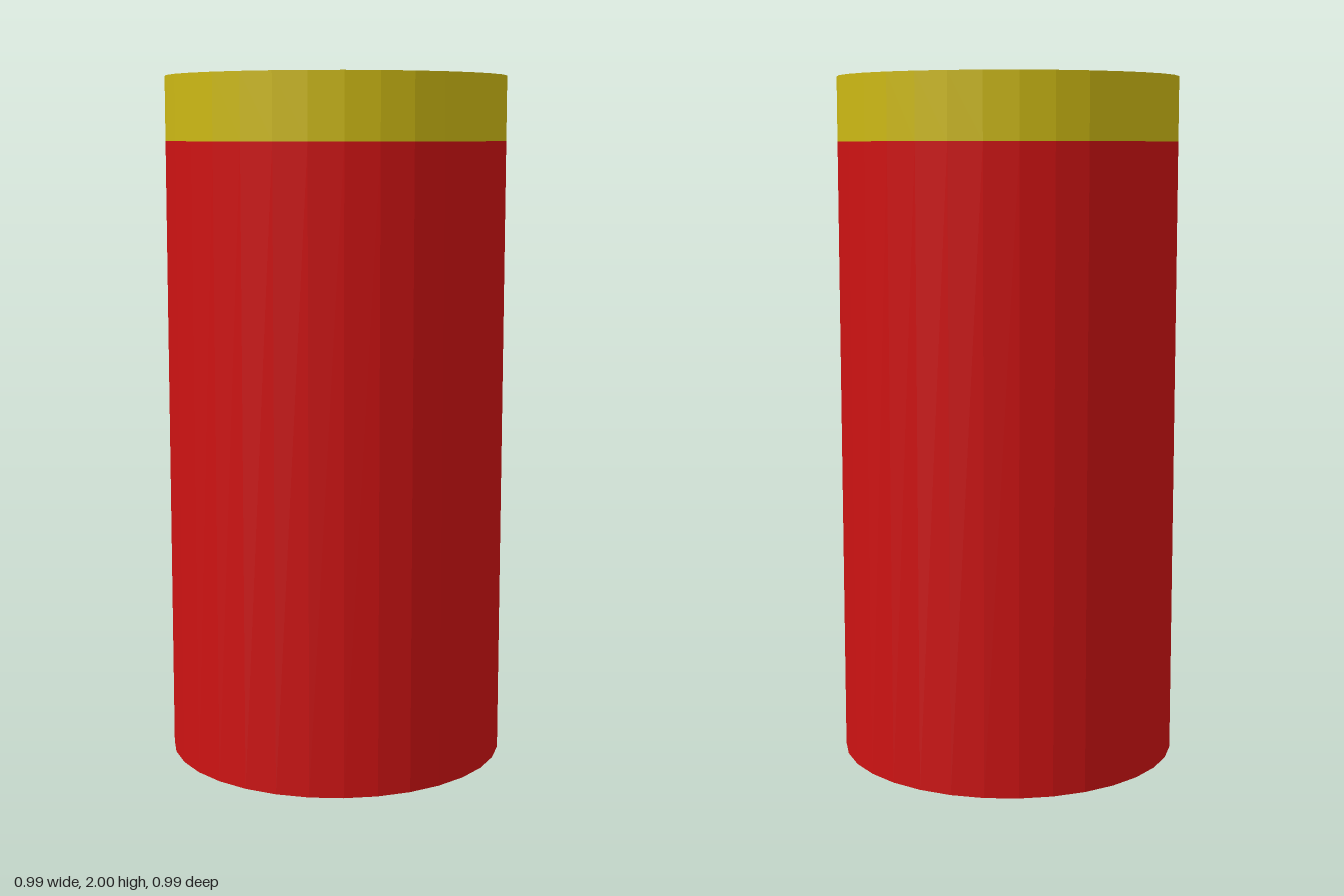
import * as THREE from 'three';

const SIDES = 32;
const RADIUS = 0.495;
const HOLE = 0.173;
const BODY_TOP = 1.815;
const DISC_TOP = 1.967;

function addPart(group, name, geometry, color) {
  const material = new THREE.MeshStandardMaterial({ color, flatShading: true });
  const mesh = new THREE.Mesh(geometry, material);
  mesh.name = name;
  group.add(mesh);
  return mesh;
}

export function createModel() {
  const group = new THREE.Group();
  group.name = 'cylinderWithCap';

  // Long red body, closed at the bottom
  const body = new THREE.CylinderGeometry(RADIUS, RADIUS, BODY_TOP, SIDES);
  addPart(group, 'body', body, 0xcd1313).position.y = BODY_TOP / 2;

  // Yellow cap ring with a round hole, profile running up the outside and down the hole
  const profile = [
    [RADIUS, BODY_TOP],
    [RADIUS, 2],
    [HOLE, 2],
    [HOLE, BODY_TOP],
  ].map(([r, y]) => new THREE.Vector2(r, y));
  addPart(group, 'capRing', new THREE.LatheGeometry(profile, SIDES), 0xccb814);

  // Grey disc set slightly below the rim of the hole
  const depth = DISC_TOP - BODY_TOP;
  const disc = new THREE.CylinderGeometry(HOLE, HOLE, depth, SIDES);
  addPart(group, 'centreDisc', disc, 0x909090).position.y = BODY_TOP + depth / 2;

  return group;
}
